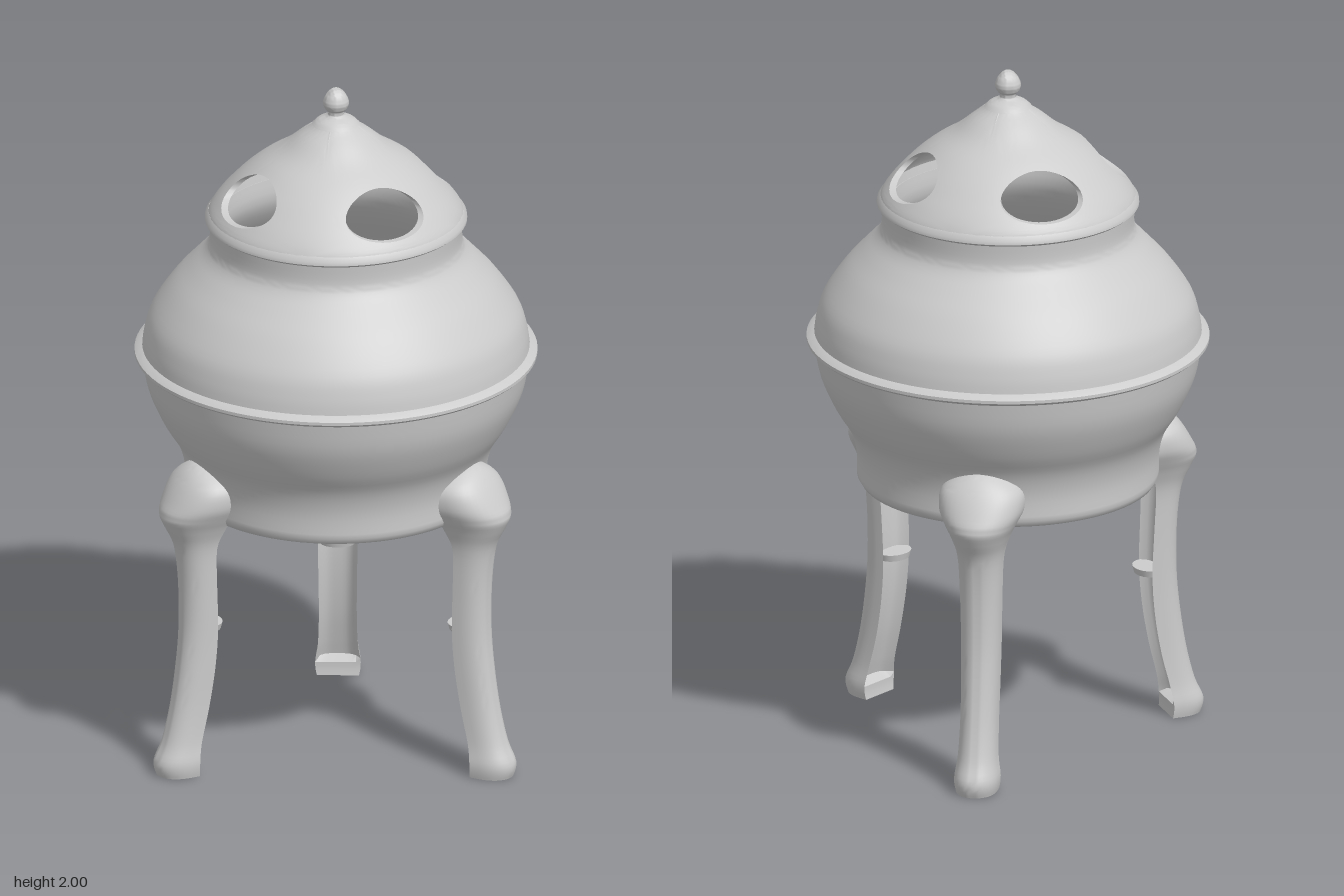
import * as THREE from 'three';
import { mergeGeometries, mergeVertices, toCreasedNormals } from 'three/addons/utils/BufferGeometryUtils.js';

const material = new THREE.MeshStandardMaterial({ color: 0xcccccc });

function mesh(name, geometry, crease = 0.7) {
  const m = new THREE.Mesh(toCreasedNormals(geometry, crease), material);
  m.name = name;
  return m;
}

const vec = (list) => list.map(([x, y]) => new THREE.Vector2(x, y));
const smooth = (list, n) => new THREE.SplineCurve(vec(list)).getPoints(n);
const lathe = (points, segments = 96) => new THREE.LatheGeometry(points, segments);

// Surface through closed rings of equal length
function loft(rings, capped) {
  const n = rings[0].length;
  const pos = rings.flat().flatMap((p) => [p.x, p.y, p.z]);
  const index = [];
  for (let k = 0; k < rings.length - 1; k++) {
    for (let s = 0; s < n; s++) {
      const a = k * n + s, b = k * n + (s + 1) % n;
      index.push(a, b, b + n, a, b + n, a + n);
    }
  }
  if (capped) {
    [0, rings.length - 1].forEach((k) => {
      const c = new THREE.Vector3();
      rings[k].forEach((p) => c.addScaledVector(p, 1 / n));
      const id = pos.length / 3;
      pos.push(c.x, c.y, c.z);
      for (let s = 0; s < n; s++) {
        const a = k * n + s, b = k * n + (s + 1) % n;
        index.push(...(k === 0 ? [b, a, id] : [a, b, id]));
      }
    });
  }
  const g = new THREE.BufferGeometry();
  g.setAttribute('position', new THREE.Float32BufferAttribute(pos, 3));
  g.setIndex(index);
  return g;
}

// Hollow bowl with a seam flange at its widest point
function bowl() {
  const lower = [[0.43, 0.785], [0.432, 0.86], [0.452, 0.93], [0.495, 1.0], [0.535, 1.09], [0.552, 1.18]];
  const upper = [[0.552, 1.215], [0.545, 1.26], [0.525, 1.32], [0.47, 1.4], [0.415, 1.46], [0.374, 1.505], [0.36, 1.54], [0.362, 1.605]];
  const inside = [[0.335, 1.605], [0.335, 1.53], [0.39, 1.44], [0.5, 1.31], [0.525, 1.2], [0.5, 1.08], [0.43, 0.94], [0.4, 0.82]];
  return lathe([
    ...vec([[0, 0.765], [0.4, 0.76], [0.42, 0.768]]),
    ...smooth(lower, 20),
    ...vec([[0.566, 1.186], [0.574, 1.193], [0.574, 1.202], [0.566, 1.208]]),
    ...smooth(upper, 28),
    ...smooth(inside, 24),
    ...vec([[0, 0.8]]),
  ]);
}

// Domed lid: four quarter panels, each with an oval vent
function lidShell() {
  const y0 = 1.62, y1 = 1.9, thickness = 0.02, steps = 64, bands = 12;
  const profile = new THREE.SplineCurve(vec([
    [0.365, 1.62], [0.34, 1.66], [0.305, 1.7], [0.265, 1.74],
    [0.215, 1.78], [0.153, 1.82], [0.105, 1.86], [0.055, 1.9],
  ]));
  const panels = [];
  for (let q = 0; q < 4; q++) {
    const mid = 0.23 + q * Math.PI / 2;
    const ring = (f, inset) => Array.from({ length: steps }, (_, s) => {
      const a = s / steps * Math.PI * 2, c = Math.cos(a), d = Math.sin(a);
      const m = Math.max(Math.abs(c), Math.abs(d));
      const edgeY = d > 0 ? y0 + (y1 - y0) * (0.5 + 0.5 * d / m) : y0 + (y1 - y0) * (0.5 + 0.5 * d / m);
      const theta = mid + THREE.MathUtils.lerp(c / m * Math.PI / 4, 0.42 * c, f);
      const y = THREE.MathUtils.lerp(edgeY, 1.71 + 0.06 * d, f);
      const r = profile.getPoint((y - y0) / (y1 - y0)).x - inset;
      return new THREE.Vector3(r * Math.sin(theta), y, r * Math.cos(theta));
    });
    const rings = [];
    for (let k = 0; k <= bands; k++) rings.push(ring(k / bands, 0));
    for (let k = bands; k >= 0; k--) rings.push(ring(k / bands, thickness));
    panels.push(loft(rings, false));
  }
  return mergeVertices(mergeGeometries(panels), 1e-4);
}

// Leg along +x: rounded outside, channelled inside, flaring to a knee cap
function legShape() {
  // y, outer radius, inner radius, half width
  const rows = [
    [0, 0.58, 0.478, 0.06], [0.04, 0.588, 0.48, 0.065], [0.1, 0.562, 0.47, 0.057],
    [0.2, 0.537, 0.445, 0.054], [0.32, 0.518, 0.425, 0.055], [0.44, 0.507, 0.417, 0.057],
    [0.58, 0.508, 0.422, 0.06], [0.69, 0.522, 0.425, 0.066], [0.75, 0.55, 0.41, 0.085],
    [0.79, 0.565, 0.4, 0.105], [0.83, 0.548, 0.4, 0.122], [0.88, 0.518, 0.4, 0.118],
    [0.915, 0.488, 0.4, 0.08], [0.935, 0.455, 0.4, 0.03],
  ];
  const size = new THREE.CatmullRomCurve3(rows.map((r) => new THREE.Vector3(r[1], r[2], r[3])), false, 'catmullrom');
  const height = new THREE.SplineCurve(rows.map((r) => new THREE.Vector2(0, r[0])));
  const rings = [];
  const count = 52, arc = 20, inner = 10;
  for (let i = 0; i <= count; i++) {
    const { x: out, y: inn, z: w } = size.getPoint(i / count);
    const y = Math.max(0, height.getPoint(i / count).y);
    const depth = out - inn;
    const groove = y > 0.05 && y < 0.75 ? 0.35 * depth : 0;
    const ring = [];
    for (let s = 0; s <= arc; s++) {
      const a = Math.PI / 2 - s / arc * Math.PI;
      ring.push(new THREE.Vector3(inn + depth * Math.pow(Math.max(0, Math.cos(a)), 0.7), y, w * Math.sin(a)));
    }
    for (let s = 1; s < inner; s++) {
      const t = -1 + 2 * s / inner;
      ring.push(new THREE.Vector3(inn + groove * (1 - t ** 4), y, w * t));
    }
    rings.push(ring);
  }
  return loft(rings, true);
}

export function createModel() {
  const model = new THREE.Group();
  model.name = 'tripodBurner';
  model.add(mesh('bowl', bowl()));

  const lid = new THREE.Group();
  lid.name = 'lid';
  lid.add(mesh('ventedDome', lidShell()));
  lid.add(mesh('lidRim', lathe(vec([
    [0.335, 1.595], [0.365, 1.595], [0.374, 1.602], [0.373, 1.612], [0.363, 1.625], [0.34, 1.63], [0.335, 1.595],
  ]))));
  lid.add(mesh('finial', lathe(smooth([
    [0.068, 1.89], [0.052, 1.905], [0.028, 1.916], [0.022, 1.926], [0.033, 1.94],
    [0.037, 1.958], [0.028, 1.98], [0.014, 1.995], [0, 2],
  ], 32), 32), 1.2));
  model.add(lid);

  const legGeometry = legShape();
  [47, 167, 287].forEach((degrees, i) => {
    const leg = new THREE.Group();
    leg.name = 'leg' + (i + 1);
    leg.add(mesh('legShaft', legGeometry));
    // Small ledge across the inner channel
    const ledge = mesh('legLedge', new THREE.CylinderGeometry(0.056, 0.05, 0.02, 24));
    ledge.scale.x = 0.8;
    ledge.position.set(0.425, 0.44, 0);
    leg.add(ledge);
    leg.rotation.y = -THREE.MathUtils.degToRad(degrees);
    model.add(leg);
  });
  return model;
}
